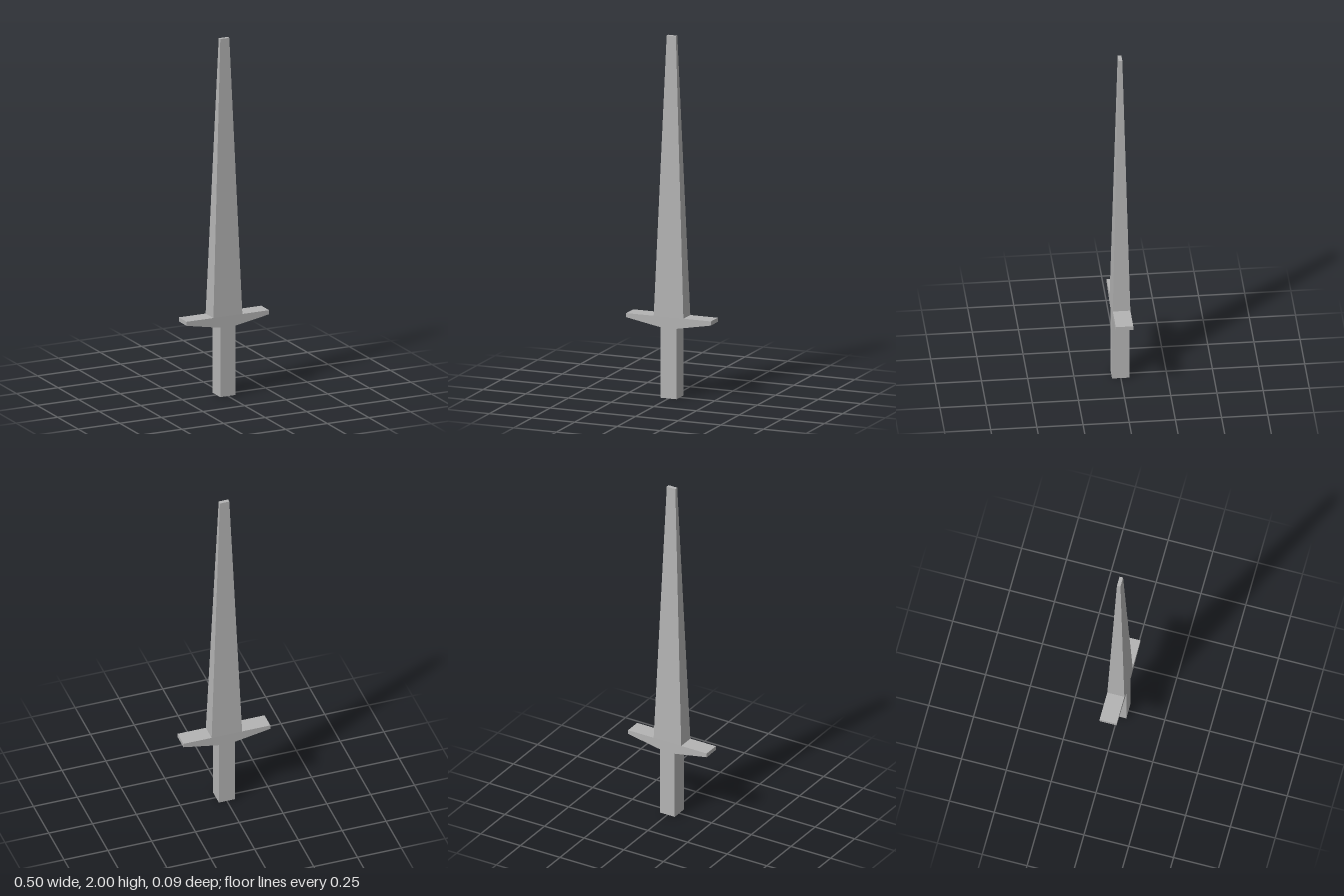
import * as THREE from 'three';

const HALF_DEPTH = 0.0475;
const GRIP_TOP = 0.39, GUARD_TOP = 0.45, TIP = 2;

// Box between two heights, with separate half sizes at the bottom and top
function taperedBox(y0, y1, [x0, z0], [x1, z1]) {
  const geometry = new THREE.BoxGeometry(2, y1 - y0, 2);
  geometry.translate(0, (y0 + y1) / 2, 0);
  const p = geometry.attributes.position;
  const middle = (y0 + y1) / 2;
  for (let i = 0; i < p.count; i++) {
    const top = p.getY(i) > middle;
    p.setX(i, p.getX(i) * (top ? x1 : x0));
    p.setZ(i, p.getZ(i) * (top ? z1 : z0));
  }
  geometry.computeVertexNormals();
  return geometry;
}

export function createModel() {
  const model = new THREE.Group();
  model.name = 'sword';
  const steel = new THREE.MeshStandardMaterial({ color: 0xb4b4b4, flatShading: true });
  steel.name = 'grey steel';

  const add = (name, geometry) => {
    const mesh = new THREE.Mesh(geometry, steel);
    mesh.name = name;
    model.add(mesh);
  };

  // Square grip
  add('grip', taperedBox(0, GRIP_TOP, [0.046, HALF_DEPTH], [0.046, HALF_DEPTH]));

  // Crossguard, flat on top and thinning towards its ends
  const profile = new THREE.Shape([
    [-0.046, GRIP_TOP], [0.046, GRIP_TOP], [0.248, 0.427],
    [0.248, GUARD_TOP], [-0.248, GUARD_TOP], [-0.248, 0.427],
  ].map(([x, y]) => new THREE.Vector2(x, y)));
  const guard = new THREE.ExtrudeGeometry(profile, { depth: HALF_DEPTH * 2, bevelEnabled: false });
  guard.translate(0, 0, -HALF_DEPTH);
  add('crossguard', guard);

  // Blade tapering in width and depth to a blunt tip
  add('blade', taperedBox(GUARD_TOP, TIP, [0.087, HALF_DEPTH], [0.027, 0.01]));

  return model;
}
